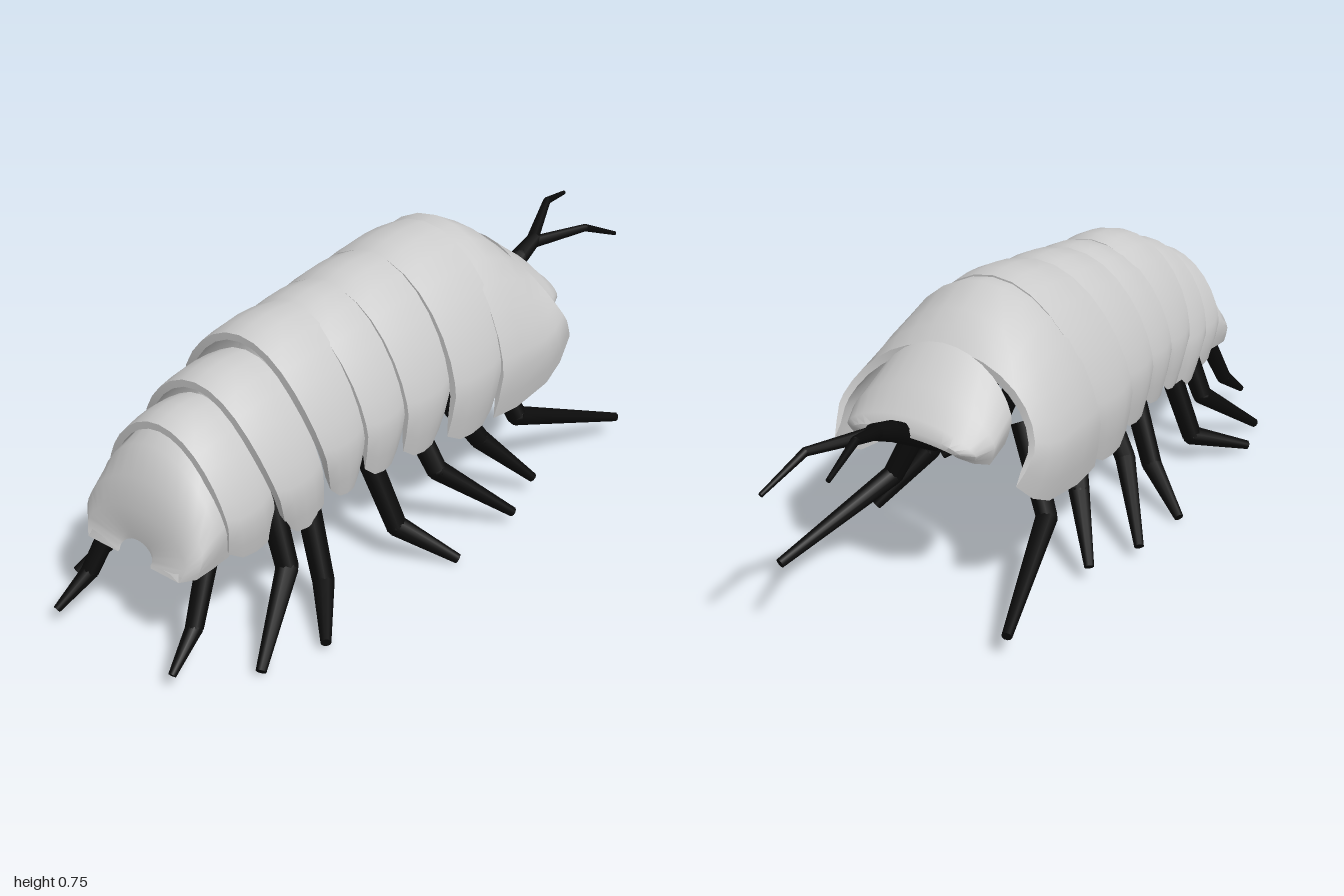
import * as THREE from 'three';
import { toCreasedNormals } from 'three/addons/utils/BufferGeometryUtils.js';

const shellMat = new THREE.MeshStandardMaterial({ color: 0xcccccc, side: THREE.DoubleSide });
const limbMat = new THREE.MeshStandardMaterial({ color: 0x0a0a0a });
const { lerp } = THREE.MathUtils;
const THICK = 0.018;

// Arch cross-section as [width fraction, height fraction]: a rounded vault on inward-leaning skirts
const vault = Array.from({ length: 17 }, (_, i) => {
  const a = (i / 16) * Math.PI;
  return [Math.cos(a), 0.27 + 0.73 * Math.max(0, Math.sin(a)) ** 1.3];
});
const ARCH = [[0.93, 0], [0.97, 0.12], ...vault, [-0.97, 0.12], [-0.93, 0]];

// Arched plate lofted through stations [xTop, xBottom, yTop, yBottom, halfWidth], rear to front,
// going forward on the outside and back on the inside
function plate(name, stations) {
  const rings = [
    ...stations.map((s) => ({ s, t: 0 })),
    ...stations.slice().reverse().map((s) => ({ s, t: THICK })),
  ];
  const pos = [], idx = [], n = ARCH.length;
  for (const { s: [xt, xb, yt, yb, w], t } of rings) {
    for (const [z, h] of ARCH) {
      const taper = t * Math.min(1, h * 6);
      pos.push(
        xt + (xb - xt) * (1 - h) ** 2,
        yb + (yt - yb) * h - taper * h,
        z * w - Math.sign(z) * Math.min(taper, Math.abs(z) * w * 0.1),
      );
    }
  }
  for (let i = 0; i < rings.length; i++) {
    const next = (i + 1) % rings.length;
    for (let j = 0; j < n - 1; j++) {
      const a = i * n + j, b = next * n + j;
      idx.push(a, b, b + 1, a, b + 1, a + 1);
    }
  }
  const geo = new THREE.BufferGeometry();
  geo.setAttribute('position', new THREE.Float32BufferAttribute(pos, 3));
  geo.setIndex(idx);
  const mesh = new THREE.Mesh(toCreasedNormals(geo, 0.8), shellMat);
  mesh.name = name;
  return mesh;
}

// Stations of a back plate: the ridge swells between its ends, the skirt is rounded at its corners
function bulged(top0, top1, low0, low1, peak, hem, w) {
  return [0, 0.25, 0.5, 0.75, 1].map((u) => [
    lerp(top0, top1, u),
    lerp(low0, low1, u),
    peak - 0.035 * (1 - u) ** 2 - 0.015 * u ** 2,
    hem + 0.03 * Math.abs(2 * u - 1) ** 3,
    w - 0.01 * (2 * u - 1) ** 2,
  ]);
}

// Jointed limb: tapered rods between points, with a ball at each inner joint
function limb(name, points, radii) {
  const group = new THREE.Group();
  group.name = name;
  const p = points.map((q) => new THREE.Vector3(...q));
  for (let i = 0; i < p.length - 1; i++) {
    const dir = p[i + 1].clone().sub(p[i]);
    const rod = new THREE.Mesh(new THREE.CylinderGeometry(radii[i + 1], radii[i], dir.length(), 10), limbMat);
    rod.position.copy(p[i]).addScaledVector(dir, 0.5);
    rod.quaternion.setFromUnitVectors(new THREE.Vector3(0, 1, 0), dir.normalize());
    rod.name = name + 'Section';
    group.add(rod);
    if (i > 0) {
      const joint = new THREE.Mesh(new THREE.SphereGeometry(radii[i], 10, 6), limbMat);
      joint.position.copy(p[i]);
      joint.name = name + 'Joint';
      group.add(joint);
    }
  }
  return group;
}

export function createModel() {
  const model = new THREE.Group();
  model.name = 'isopod';

  // Tail plate, closed behind around a small arched notch
  model.add(plate('tailPlate', [
    [-0.89, -0.905, 0.30, 0.235, 0.06],
    [-0.885, -0.91, 0.36, 0.24, 0.165],
    [-0.86, -0.88, 0.43, 0.245, 0.195],
    [-0.82, -0.83, 0.50, 0.25, 0.198],
    [-0.77, -0.77, 0.535, 0.25, 0.19],
  ]));

  // Overlapping back plates, each reaching a little under the next
  const ridgeX = [-0.80, -0.68, -0.53, -0.365, -0.22, -0.045, 0.15];
  const hemX = [-0.78, -0.61, -0.465, -0.35, -0.215, -0.06, 0.14];
  const peaks = [0.585, 0.645, 0.711, 0.722, 0.743, 0.764];
  const hems = [0.235, 0.235, 0.275, 0.285, 0.28, 0.262];
  const widths = [0.21, 0.235, 0.25, 0.262, 0.275, 0.297];
  peaks.forEach((peak, i) => model.add(plate('backPlate' + (i + 1), bulged(
    ridgeX[i], ridgeX[i + 1] + 0.02, hemX[i], hemX[i + 1] - 0.01, peak, hems[i], widths[i],
  ))));

  // Front plate, with side lappets sweeping forward beside the head
  model.add(plate('frontPlate', [
    [0.15, 0.13, 0.742, 0.268, 0.297],
    [0.22, 0.23, 0.75, 0.263, 0.303],
    [0.31, 0.37, 0.705, 0.28, 0.302],
    [0.35, 0.44, 0.675, 0.315, 0.297],
    [0.392, 0.50, 0.635, 0.37, 0.285],
  ]));

  // Head shield
  model.add(plate('headShield', [
    [0.40, 0.42, 0.647, 0.43, 0.20],
    [0.50, 0.50, 0.575, 0.41, 0.207],
    [0.56, 0.54, 0.515, 0.425, 0.185],
    [0.58, 0.56, 0.49, 0.44, 0.155],
  ]));

  // Legs: hip x, knee x and y, foot x, y and z; mirrored to both sides
  const legs = [
    [-0.76, -0.895, 0.12, -0.99, 0.05, 0.20],
    [-0.61, -0.63, 0.17, -0.825, 0.022, 0.32],
    [-0.49, -0.525, 0.085, -0.655, 0.03, 0.37],
    [-0.29, -0.25, 0.11, -0.16, 0.018, 0.385],
    [-0.11, -0.085, 0.20, 0.08, 0.043, 0.385],
    [0.01, 0.13, 0.19, 0.25, 0.05, 0.33],
    [0.25, 0.30, 0.19, 0.66, 0.068, 0.335],
  ];
  for (const side of [1, -1]) {
    legs.forEach(([hipX, kneeX, kneeY, footX, footY, footZ], i) => model.add(limb(
      (side > 0 ? 'frontSideLeg' : 'backSideLeg') + (i + 1),
      [[hipX, i ? 0.41 : 0.36, 0.135 * side], [kneeX, kneeY, (0.1 + 0.4 * footZ) * side], [footX, footY, footZ * side]],
      i ? [0.033, 0.028, 0.013] : [0.028, 0.022, 0.01],
    )));
  }

  // Antenna stalk and its two feelers
  const fork = [0.68, 0.522, 0];
  const feelerRadii = [0.018, 0.011, 0.006];
  model.add(limb('antennaStalk', [[0.43, 0.40, 0.008], [0.62, 0.50, 0.003], [0.70, 0.53, 0]], [0.03, 0.026, 0.02]));
  model.add(limb('upperFeeler', [fork, [0.85, 0.585, -0.065], [0.995, 0.56, -0.1]], feelerRadii));
  model.add(limb('lowerFeeler', [fork, [0.86, 0.53, 0.068], [0.995, 0.475, 0.09]], feelerRadii));

  return model;
}
